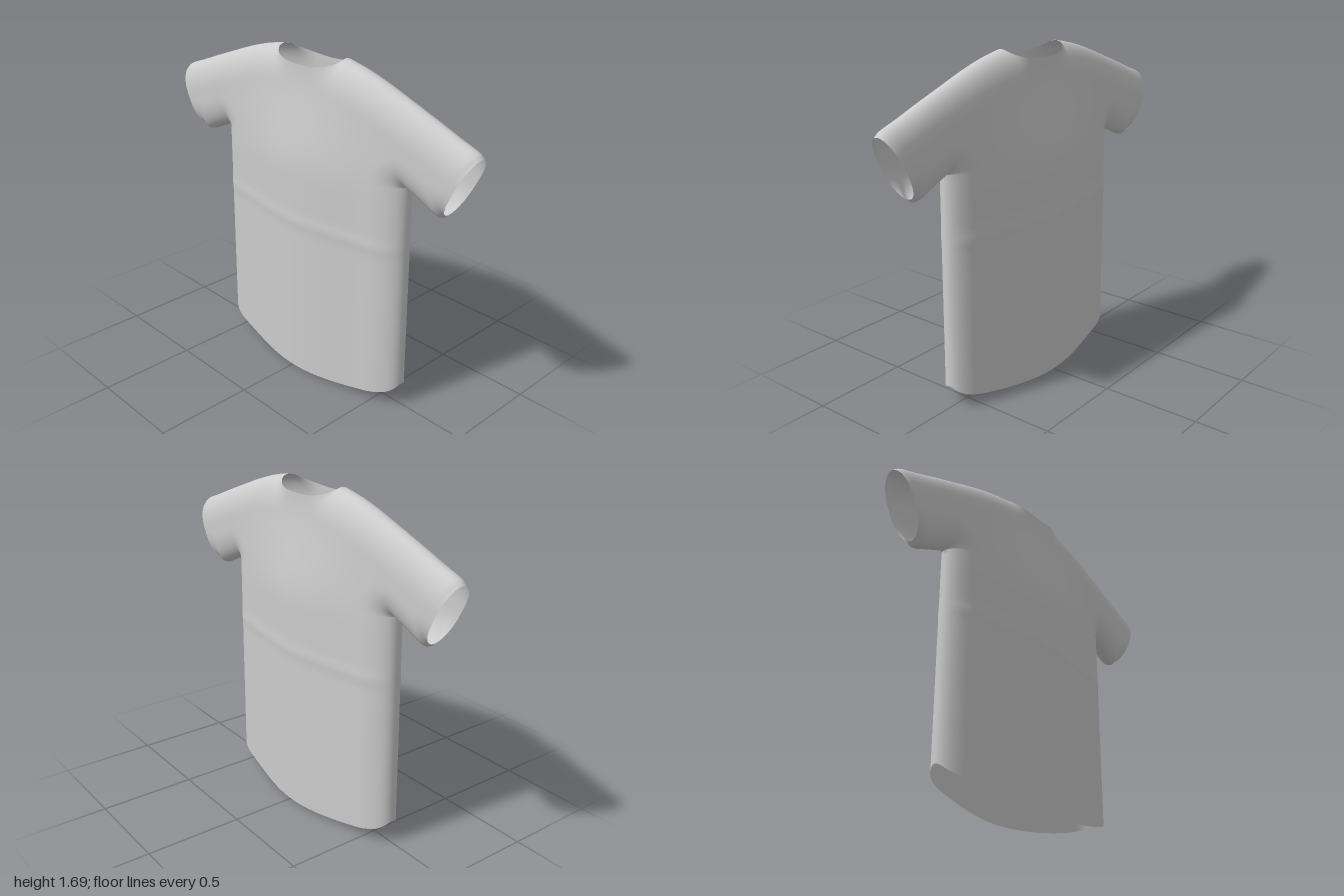
import * as THREE from 'three';
import { mergeVertices } from 'three/addons/utils/BufferGeometryUtils.js';

const SIDE = 0.62, ARMPIT = 1.18, NECK = 0.21;
const NECK_COLS = 10, CHEST_COLS = 18, SLEEVE_COLS = 18;
const TORSO_COLS = NECK_COLS + CHEST_COLS, COLS = TORSO_COLS + SLEEVE_COLS;
const LOW_ROWS = 48, UP_ROWS = 28;

const spline = (pts) => new THREE.CatmullRomCurve3(pts.map(([x, y]) => new THREE.Vector3(x, y, 0)));
const shoulder = spline([[NECK, 1.69], [0.33, 1.665], [0.46, 1.627], [SIDE, 1.57]]);
const sleeveTop = spline([[SIDE, 1.57], [0.75, 1.523], [0.87, 1.477], [0.975, 1.438], [0.998, 1.418]]);
const sleeveBottom = spline([[SIDE, ARMPIT], [0.66, 1.162], [0.73, 1.132], [0.79, 1.105], [0.825, 1.1], [0.845, 1.118]]);

const ease = (t) => Math.sin(t * Math.PI / 2);
const hemY = (x) => 0.088 * (x / SIDE) ** 2.2 + 0.03 * (x / SIDE) ** 30;

// Upper and lower end of each column of the yoke and sleeve
function yokeColumn(i) {
  if (i <= NECK_COLS) {
    const x = NECK * ease(i / NECK_COLS);
    const y = 1.69 - 0.052 * Math.sqrt(Math.max(0, 1 - (x / NECK) ** 2));
    return [new THREE.Vector3(x, ARMPIT, 0), new THREE.Vector3(x, y, 0)];
  }
  if (i <= TORSO_COLS) {
    const top = shoulder.getPoint(ease((i - NECK_COLS) / CHEST_COLS));
    return [new THREE.Vector3(top.x, ARMPIT, 0), top];
  }
  const t = (i - TORSO_COLS) / SLEEVE_COLS;
  return [sleeveBottom.getPoint(t), sleeveTop.getPoint(t)];
}
const columns = Array.from({ length: COLS + 1 }, (_, i) => yokeColumn(i));

// Seams where front and back meet
const upperSeam = columns.slice(NECK_COLS).map((c) => c[1]);
const lowerSeam = [new THREE.Vector3(SIDE, 0, 0), ...columns.slice(TORSO_COLS).map((c) => c[0])];
const seams = [upperSeam, lowerSeam].flatMap((s) => s.slice(1).map((p, i) => new THREE.Line3(s[i], p)));
const hit = new THREE.Vector3();
function seamDistance(p) {
  let d = Infinity;
  for (const s of seams) d = Math.min(d, s.closestPointToPoint(p, true, hit).distanceTo(p));
  return d;
}

// Half thickness of the garment: full at the chest, thin in the sleeves, closing at the seams
function depth(p) {
  const taper = 1 - 0.75 * THREE.MathUtils.smoothstep(p.y, 1.1, 1.64);
  const base = 0.08 + 0.08 * taper * Math.exp(-((p.x / 0.4) ** 2));
  const fold = p.x < SIDE ? 0.004 * Math.exp(-(((p.y - 0.86) / 0.025) ** 2)) : 0;
  const k = 1 - Math.min(seamDistance(p) / 0.15, 1);
  return (base + fold) * Math.sqrt(Math.max(0, 1 - k * k));
}

// Grid of points on the front left quarter
function quarterGrid(cols, rows, pointAt) {
  const grid = [];
  for (let i = 0; i <= cols; i++) {
    grid.push([]);
    for (let j = 0; j <= rows; j++) {
      const p = pointAt(i, j / rows);
      p.z = depth(p);
      if (p.z < 1e-4) p.z = 0;
      // slight flare towards the hem
      if (p.y < ARMPIT && p.x <= SIDE) p.x *= 1 + 0.012 * (1 - p.y / ARMPIT);
      grid[i].push(p);
    }
  }
  return grid;
}

const lower = quarterGrid(TORSO_COLS, LOW_ROWS, (i, v) => {
  const x = columns[i][0].x;
  return new THREE.Vector3(x, THREE.MathUtils.lerp(hemY(x), ARMPIT, v), 0);
});
const upper = quarterGrid(COLS, UP_ROWS, (i, v) =>
  columns[i][0].clone().lerp(columns[i][1], (1 - Math.cos(v * Math.PI)) / 2));

// Mirror the quarter to both sides and to the back, then weld
function shirtGeometry() {
  const positions = [], index = [];
  for (const grid of [lower, upper]) {
    const rows = grid[0].length;
    for (const sx of [1, -1]) for (const sz of [1, -1]) {
      const start = positions.length / 3;
      for (const col of grid) for (const p of col) positions.push(p.x * sx, p.y, p.z * sz);
      for (let i = 0; i < grid.length - 1; i++) for (let j = 0; j < rows - 1; j++) {
        const a = start + i * rows + j, b = a + rows, c = b + 1, d = a + 1;
        if (sx * sz > 0) index.push(a, b, c, a, c, d);
        else index.push(a, c, b, a, d, c);
      }
    }
  }
  const geometry = new THREE.BufferGeometry();
  geometry.setAttribute('position', new THREE.Float32BufferAttribute(positions, 3));
  geometry.setIndex(index);
  const welded = mergeVertices(geometry, 1e-5);
  welded.computeVertexNormals();
  return welded;
}

export function createModel() {
  const cloth = new THREE.MeshStandardMaterial({ color: 0xcccccc, side: THREE.DoubleSide });
  cloth.name = 'light grey cloth';
  const shirt = new THREE.Mesh(shirtGeometry(), cloth);
  shirt.name = 'shirt';
  const group = new THREE.Group();
  group.name = 'tShirt';
  group.add(shirt);
  return group;
}
